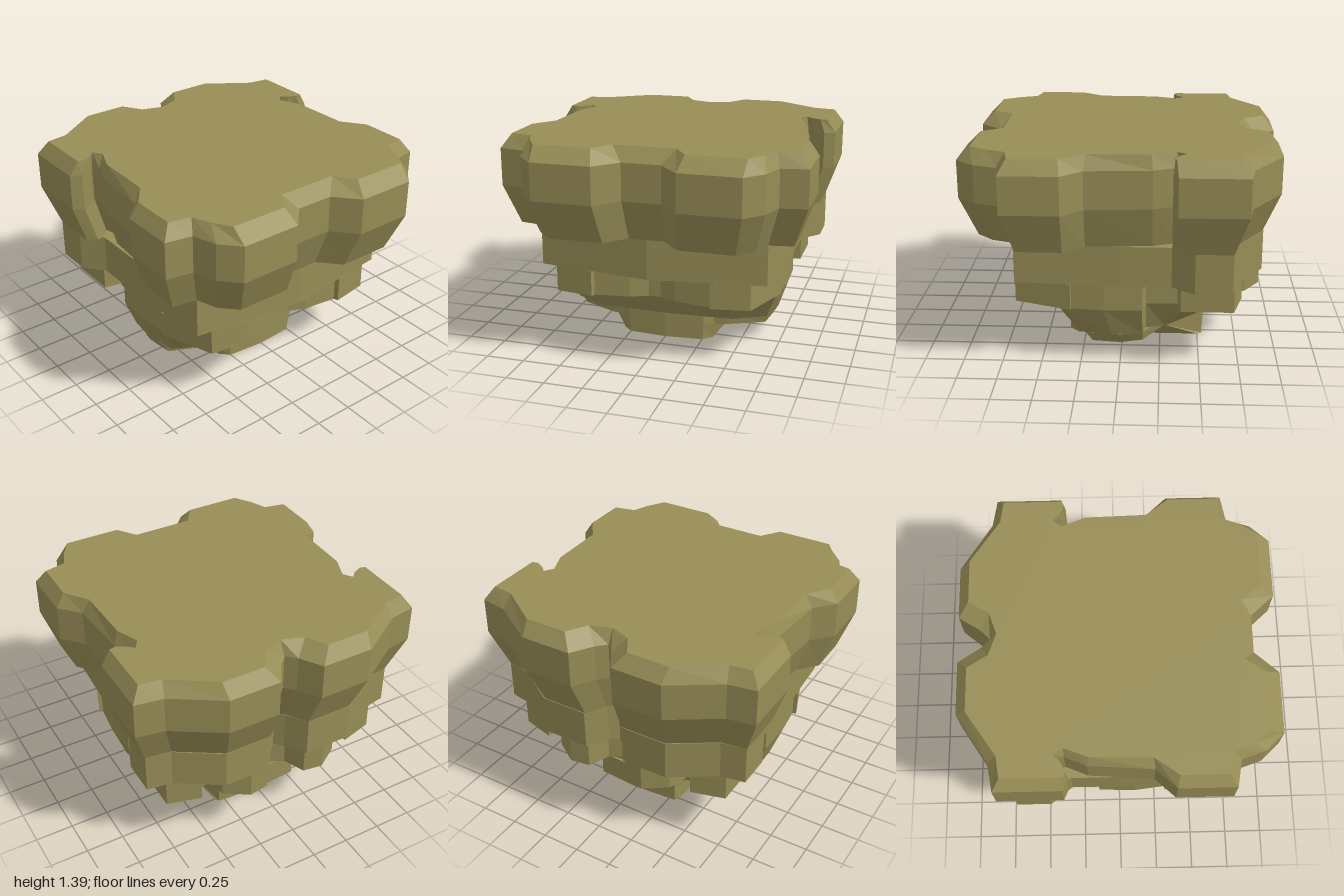
import * as THREE from 'three';

// Mirror a half outline (back centre -> side -> front centre) across x = 0
const mirror = (half) => [
  ...half,
  ...half.filter(([x]) => x > 0).reverse().map(([x, z]) => [-x, z]),
];

// Loft a rock layer through rows of [height, half outline], listed bottom to top
function layer(name, rows, material) {
  const pos = [];
  const rings = rows.map(([y, half]) => mirror(half).map(([x, z]) => new THREE.Vector3(x, y, z)));
  const tri = (...pts) => pts.forEach((p) => pos.push(p.x, p.y, p.z));

  // Side walls
  for (let r = 0; r < rings.length - 1; r++) {
    const lo = rings[r], hi = rings[r + 1], n = lo.length;
    for (let i = 0; i < n; i++) {
      const j = (i + 1) % n;
      tri(lo[i], hi[i], hi[j]);
      tri(lo[i], hi[j], lo[j]);
    }
  }

  // Flat caps, each triangle turned to face up or down
  const cap = (ring, up) => {
    const flat = ring.map((p) => new THREE.Vector2(p.x, p.z));
    for (const [a, b, c] of THREE.ShapeUtils.triangulateShape(flat, [])) {
      const facesDown = THREE.ShapeUtils.area([flat[a], flat[b], flat[c]]) > 0;
      if (facesDown === up) tri(ring[a], ring[c], ring[b]);
      else tri(ring[a], ring[b], ring[c]);
    }
  };
  cap(rings[0], false);
  cap(rings[rings.length - 1], true);

  const geometry = new THREE.BufferGeometry();
  geometry.setAttribute('position', new THREE.Float32BufferAttribute(pos, 3));
  geometry.computeVertexNormals();
  const mesh = new THREE.Mesh(geometry, material);
  mesh.name = name;
  return mesh;
}

export function createModel() {
  const rock = new THREE.MeshStandardMaterial({ color: 0x978d56, flatShading: true });
  rock.name = 'olive rock';
  const group = new THREE.Group();
  group.name = 'floatingRock';

  // Crown: notched cliff with a bevelled rim and an inward taper below
  const rim = [
    [0, -0.75], [0.14, -0.8], [0.22, -0.93], [0.5, -0.93], [0.78, -0.74], [0.92, -0.72],
    [0.92, -0.34], [0.88, -0.33], [0.82, -0.36], [0.78, -0.4], [0.74, -0.34], [0.8, -0.19],
    [0.81, 0.2], [0.92, 0.35], [0.92, 0.65], [0.78, 0.68], [0.73, 0.8], [0.66, 0.91],
    [0.29, 0.91], [0.2, 0.78], [0, 0.78],
  ];
  const cliff = [
    [0, -0.8], [0.06, -0.86], [0.15, -1], [0.49, -1], [0.8, -0.8], [0.98, -0.77],
    [0.98, -0.35], [0.91, -0.32], [0.83, -0.35], [0.79, -0.4], [0.77, -0.34], [0.83, -0.2],
    [0.86, 0.21], [0.98, 0.34], [0.98, 0.7], [0.81, 0.73], [0.76, 0.88], [0.65, 1],
    [0.26, 1], [0.125, 0.85], [0, 0.85],
  ];
  // The foot draws in, while the side notches stay vertical in z
  const cliffFoot = cliff.map(([x, z]) => [x * 0.91, Math.abs(z) > 0.5 ? z * 0.895 : z]);
  group.add(layer('crown', [[0.8, cliffFoot], [1.06, cliff], [1.3, cliff], [1.39, rim]], rock));

  // Upper ledge: straight band, wider at the back, bowed gently at the front
  const band = [
    [0, -0.72], [0.05, -0.77], [0.14, -0.9], [0.45, -0.9], [0.73, -0.72], [0.89, -0.69],
    [0.89, -0.46], [0.78, -0.32], [0.78, 0], [0.74, 0.66], [0, 0.76],
  ];
  group.add(layer('upperLedge', [[0.54, band], [0.8, band]], rock));

  // Broken ledge: separate blocks with recesses between them
  const broken = [
    [0, -0.7], [0.08, -0.74], [0.14, -0.88], [0.27, -0.9], [0.42, -0.8], [0.46, -0.68],
    [0.53, -0.68], [0.55, -0.77], [0.7, -0.73], [0.77, -0.71], [0.77, -0.38], [0.64, -0.36],
    [0.64, 0.29], [0.77, 0.31], [0.64, 0.67], [0.39, 0.71], [0.38, 0.68], [0.15, 0.65],
    [0.04, 0.6], [0, 0.6],
  ];
  group.add(layer('brokenLedge', [[0.37, broken], [0.54, broken]], rock));

  // Tapered underside, stepping in behind the middle of each side
  const taperTop = [
    [0, -0.62], [0.42, -0.66], [0.64, -0.45], [0.65, -0.16], [0.76, -0.14], [0.77, 0.1],
    [0.74, 0.35], [0.42, 0.52], [0, 0.51],
  ];
  const taperFoot = [
    [0, -0.5], [0.3, -0.54], [0.55, -0.28], [0.58, -0.16], [0.68, -0.14], [0.7, 0.05],
    [0.66, 0.25], [0.45, 0.36], [0, 0.38],
  ];
  group.add(layer('taper', [[0.17, taperFoot], [0.37, taperTop], [0.54, taperTop]], rock));

  // Lower ledge
  const ledge = [
    [0, -0.4], [0.39, -0.28], [0.62, -0.14], [0.66, 0], [0.64, 0.18], [0.39, 0.3], [0, 0.35],
  ];
  const ledgeTop = ledge.map(([x, z]) => [x * 1.06, z]);
  group.add(layer('lowerLedge', [[0.1, ledge], [0.17, ledgeTop]], rock));

  // Foot block with bevelled flanks
  const footTop = [[0, -0.55], [0.29, -0.53], [0.39, -0.28], [0.39, 0.25], [0.26, 0.36], [0, 0.38]];
  const footBase = [[0, -0.55], [0.29, -0.53], [0.31, -0.5], [0.31, 0.3], [0.25, 0.36], [0, 0.38]];
  group.add(layer('foot', [[0, footBase], [0.1, footTop], [0.17, footTop]], rock));

  return group;
}
